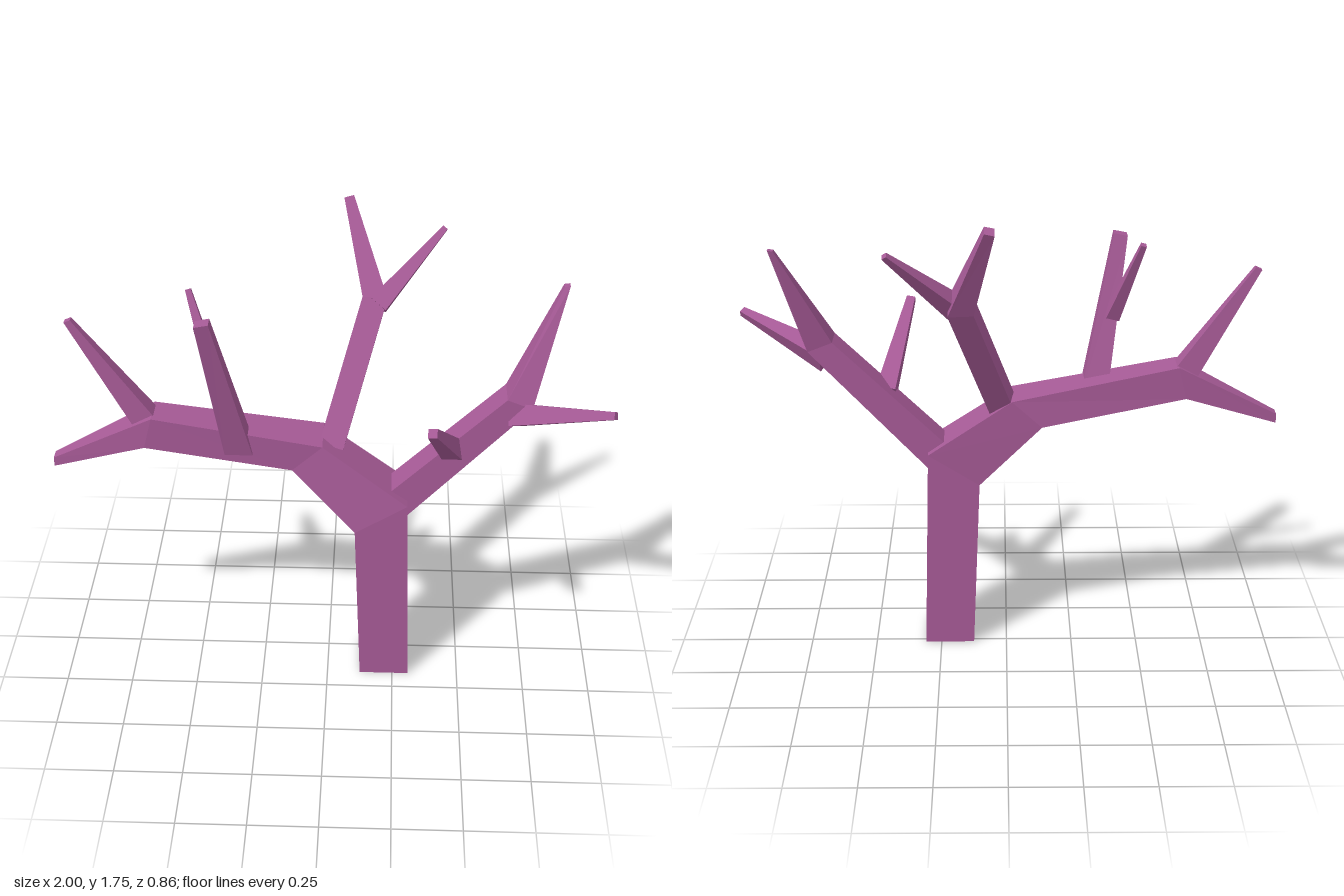
import * as THREE from 'three';

const bark = new THREE.MeshStandardMaterial({ color: 0xa65a96, flatShading: true, roughness: 0.9 });

// Skin a run of four-cornered rings and cap both ends
function loft(name, rings) {
  const pos = [];
  const quad = (a, b, c, d) => [a, b, c, a, c, d].forEach(p => pos.push(...p));
  for (let r = 0; r < rings.length - 1; r++) {
    for (let i = 0; i < 4; i++) {
      const j = (i + 1) % 4;
      quad(rings[r][i], rings[r][j], rings[r + 1][j], rings[r + 1][i]);
    }
  }
  quad(...[...rings[0]].reverse());
  quad(...rings[rings.length - 1]);
  const geo = new THREE.BufferGeometry();
  geo.setAttribute('position', new THREE.Float32BufferAttribute(pos, 3));
  geo.computeVertexNormals();
  const mesh = new THREE.Mesh(geo, bark);
  mesh.name = name;
  return mesh;
}

// Ring from a left and a right edge point in x, y and a depth range in z
const cut = (lx, ly, rx, ry, z0, z1) =>
  [[lx, ly, z1], [rx, ry, z1], [rx, ry, z0], [lx, ly, z0]];

// Square tapering limb along a path of [x, y, z, halfWidth]
function limb(name, path) {
  const pts = path.map(p => new THREE.Vector3(p[0], p[1], p[2]));
  const rings = path.map((p, i) => {
    const t = pts[Math.min(i + 1, pts.length - 1)].clone().sub(pts[Math.max(i - 1, 0)]).normalize();
    const u = new THREE.Vector3(1, 0, 0).addScaledVector(t, -t.x).normalize();
    const v = t.clone().cross(u);
    return [[-1, -1], [1, -1], [1, 1], [-1, 1]].map(([a, b]) =>
      pts[i].clone().addScaledVector(u, a * p[3]).addScaledVector(v, b * p[3]).toArray());
  });
  return loft(name, rings);
}

export function createModel() {
  const tree = new THREE.Group();
  tree.name = 'bareTree';
  tree.add(
    // Trunk bending over into the long left-hand bough
    loft('trunk', [
      cut(0.125, 0, 0.31, 0, -0.02, 0.17),
      cut(0.10, 0.66, 0.29, 0.78, -0.02, 0.17),
      cut(-0.13, 0.90, -0.02, 1.0, -0.045, 0.125),
      cut(-0.66, 0.99, -0.63, 1.11, 0.01, 0.135),
      cut(-1, 0.88, -1, 0.915, 0.05, 0.095),
    ]),
    loft('boughEndTwig', [
      cut(-0.70, 1.07, -0.61, 1.09, 0.03, 0.11),
      cut(-0.918, 1.465, -0.895, 1.475, 0.06, 0.085),
    ]),
    // Upright branch on the bough
    loft('frontBranch', [
      cut(-0.37, 0.97, -0.27, 0.97, 0.05, 0.14),
      cut(-0.445, 1.55, -0.395, 1.56, 0.215, 0.265),
    ]),
    limb('frontBranchTwig', [[-0.39, 1.27, 0.14, 0.025], [-0.487, 1.57, 0.02, 0.01]]),
    // Tall branch leaning back
    limb('backBranch', [[0.01, 0.95, 0.035, 0.045], [0.158, 1.42, -0.23, 0.045], [0.058, 1.735, -0.41, 0.018]]),
    limb('backBranchTwig', [[0.17, 1.405, -0.205, 0.035], [0.407, 1.64, -0.365, 0.01]]),
    // Branch on the opposite side of the trunk
    loft('sideBranch', [
      cut(0.21, 0.80, 0.285, 0.71, 0.01, 0.13),
      cut(0.63, 1.21, 0.72, 1.175, 0.01, 0.125),
      cut(0.815, 1.572, 0.835, 1.575, -0.065, -0.04),
    ]),
    limb('sideBranchTwig', [[0.66, 1.128, 0.085, 0.04], [0.988, 1.245, 0.275, 0.013]]),
    limb('sideBranchFrontTwig', [[0.445, 0.985, 0.1, 0.036], [0.362, 1.25, 0.42, 0.016]]),
  );
  return tree;
}
